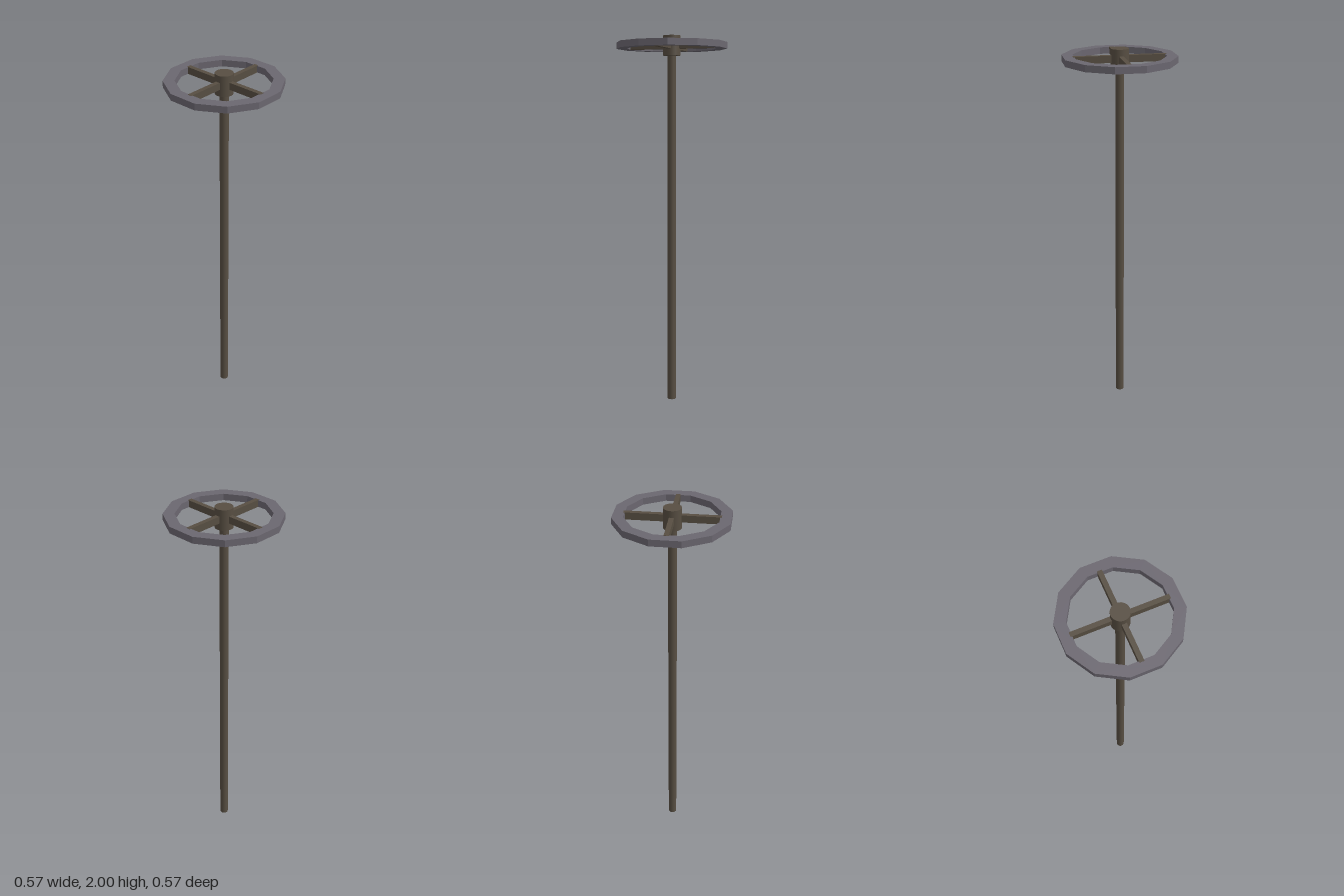
import * as THREE from 'three';

const WHEEL_Y = 1.948;

// Regular polygon whose flat sides face the axes
function polygon(PathType, radius, sides) {
  const points = [];
  for (let i = 0; i < sides; i++) {
    const a = ((i + 0.5) / sides) * Math.PI * 2;
    points.push(new THREE.Vector2(Math.cos(a) * radius, Math.sin(a) * radius));
  }
  return new PathType(points);
}

export function createModel() {
  const group = new THREE.Group();
  const wood = new THREE.MeshStandardMaterial({ color: 0x574e42 });
  wood.name = 'dark brown';
  const iron = new THREE.MeshStandardMaterial({ color: 0x6b6770 });
  iron.name = 'iron grey';

  const add = (name, geometry, material, y) => {
    const mesh = new THREE.Mesh(geometry, material);
    mesh.name = name;
    mesh.position.y = y;
    group.add(mesh);
    return mesh;
  };

  // Upright pole and the hub on its top
  add('pole', new THREE.CylinderGeometry(0.023, 0.023, 1.94, 16), wood, 0.97);
  add('hub', new THREE.CylinderGeometry(0.046, 0.046, 0.105, 24), wood, 1.9475);

  // Twelve-sided rim
  const depth = 0.034;
  const outline = polygon(THREE.Shape, 0.295, 12);
  outline.holes.push(polygon(THREE.Path, 0.238, 12));
  const rim = new THREE.ExtrudeGeometry(outline, { depth, bevelEnabled: false });
  rim.translate(0, 0, -depth / 2);
  rim.rotateX(-Math.PI / 2);
  add('rim', rim, iron, WHEEL_Y);

  // Four spokes, let slightly into the rim
  const spoke = new THREE.BoxGeometry(0.218, 0.036, 0.024).translate(0.129, 0, 0);
  for (let i = 0; i < 4; i++) {
    add('spoke' + (i + 1), spoke, wood, WHEEL_Y).rotation.y = (i * Math.PI) / 2;
  }

  return group;
}
